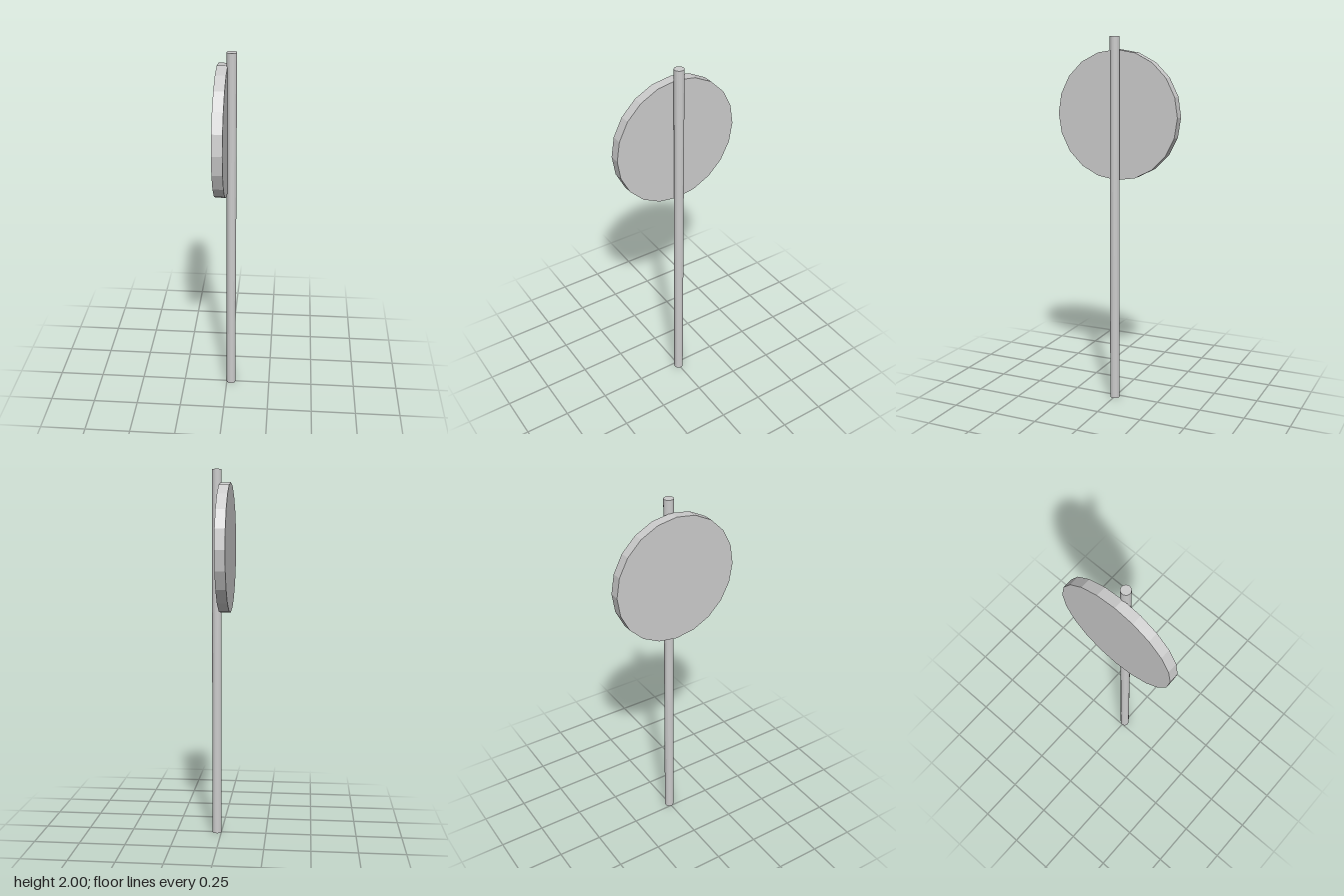
import * as THREE from 'three';

const SIDES = 20;

export function createModel() {
  const group = new THREE.Group();
  group.name = 'roundSignOnPole';
  const material = new THREE.MeshStandardMaterial({ color: 0xcccccc, flatShading: true });

  // Upright pole
  const pole = new THREE.Mesh(new THREE.CylinderGeometry(0.026, 0.026, 2, SIDES), material);
  pole.name = 'pole';
  pole.position.set(0.0245, 1, 0);

  // Round plate, its axis along x, fixed to the right side of the pole
  const plate = new THREE.Mesh(new THREE.CylinderGeometry(0.346, 0.346, 0.055, SIDES), material);
  plate.name = 'signPlate';
  plate.rotation.z = Math.PI / 2;
  plate.position.set(-0.0235, 1.585, 0);

  group.add(pole, plate);
  return group;
}
